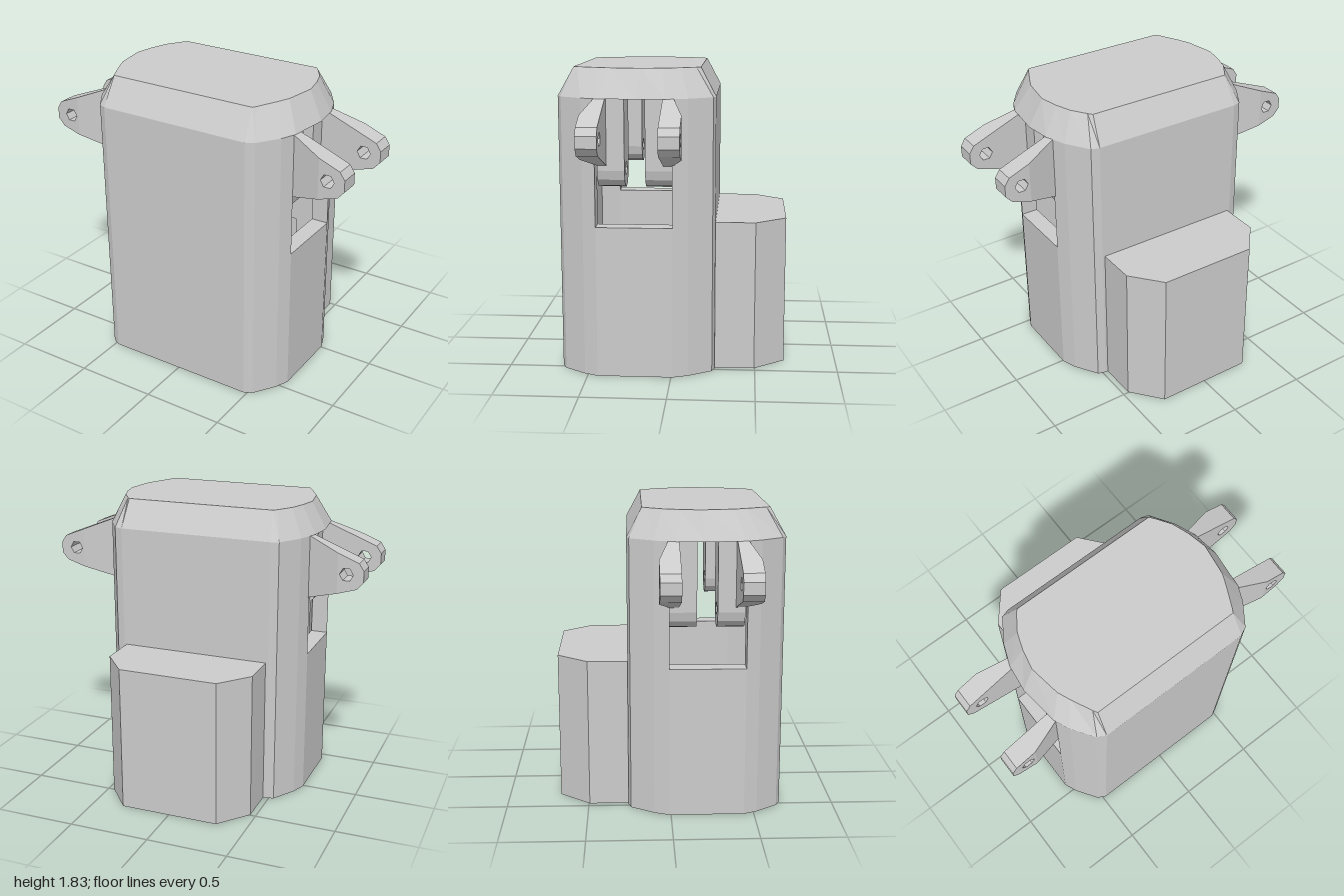
import * as THREE from 'three';

const material = new THREE.MeshStandardMaterial({ color: 0xcccccc, flatShading: true });
const MID_Z = 0.21; // centre plane of the main body

// Right half outline [x, z], back to front, completed by its mirror image
const mirrored = half => [...half, ...half.map(([x, z]) => [-x, z]).reverse()];

// Points of an outline, always counter-clockwise so every wall faces outward
const ccw = pts => {
  const v = pts.map(p => new THREE.Vector2(...p));
  return THREE.ShapeUtils.isClockWise(v) ? v.reverse() : v;
};

const makeShape = (pts, holes) => {
  const shape = new THREE.Shape(ccw(pts));
  for (const h of holes) shape.holes.push(new THREE.Path(ccw(h)));
  return shape;
};

// Horizontal slab with an [x, z] outline between two heights
function slab(outline, y0, y1, holes = []) {
  const flip = pts => pts.map(([x, z]) => [x, -z]);
  const geo = new THREE.ExtrudeGeometry(makeShape(flip(outline), holes.map(flip)), { depth: y1 - y0, bevelEnabled: false });
  return geo.rotateX(-Math.PI / 2).translate(0, y0, 0);
}

// Upright plate with an [x, y] outline between two depths
function plate(outline, z0, z1, holes = []) {
  const geo = new THREE.ExtrudeGeometry(makeShape(outline, holes), { depth: z1 - z0, bevelEnabled: false });
  return geo.translate(0, 0, z0);
}

// Points on an arc; steps divide the sweep from a0 to a1
const arc = (cx, cy, r, count, steps, a0 = 0, a1 = Math.PI * 2) =>
  Array.from({ length: count }, (_, i) => {
    const a = a0 + (a1 - a0) * i / steps;
    return [cx + r * Math.cos(a), cy + r * Math.sin(a)];
  });

export function createModel() {
  const model = new THREE.Group();
  const add = (name, geo, parent = model) => {
    const mesh = new THREE.Mesh(geo, material);
    mesh.name = name;
    parent.add(mesh);
  };

  // Outlines of the body corners and the rear box
  const backCorner = [[0.48, -0.255], [0.53, -0.24], [0.62, -0.1], [0.655, -0.01]];
  const frontCorner = [[0.655, 0.44], [0.62, 0.52], [0.53, 0.65], [0.48, 0.675]];
  const body = mirrored([...backCorner, ...frontCorner]);
  const bodyCavity = mirrored([[0.5, -0.14], [0.55, -0.01], [0.55, 0.44], [0.5, 0.56]]);
  const boxHalf = [[0.31, -0.68], [0.465, -0.495], [0.465, -0.255]];
  const footprint = mirrored([...boxHalf, ...backCorner, ...frontCorner]);
  const footCavity = mirrored([[0.27, -0.58], [0.37, -0.46], [0.37, -0.14], [0.5, -0.14],
    [0.55, -0.01], [0.55, 0.44], [0.5, 0.56]]);

  // Floor with its rectangular opening, then the hollow walls
  add('floor', slab(footprint, 0, 0.17, [mirrored([[0.25, -0.45], [0.25, 0.52]])]));
  add('lowerWalls', slab(footprint, 0.17, 0.8, [footCavity]));
  add('middleWalls', slab(body, 0.8, 0.91, [bodyCavity]));
  add('rearBoxLid', slab(mirrored(boxHalf), 0.8, 0.91));

  // Upper walls leave a window on each side
  add('upperBackWall', slab(mirrored([...backCorner, [0.55, -0.01], [0.5, -0.14]]), 0.91, 1.66));
  add('upperFrontWall', slab(mirrored([[0.5, 0.56], [0.55, 0.44], ...frontCorner]), 0.91, 1.66));

  // Cap tapering from the rim to a smaller flat top
  const rim = mirrored([[0.48, -0.255], [0.53, -0.24], [0.62, -0.1], [0.67, 0.03], [0.69, 0.19],
    [0.66, 0.43], [0.62, 0.52], [0.53, 0.65], [0.48, 0.675]]);
  const crown = mirrored([[0.465, -0.165], [0.485, -0.14], [0.545, -0.05], [0.58, 0.05], [0.605, 0.17],
    [0.575, 0.36], [0.545, 0.43], [0.485, 0.555], [0.47, 0.58]]);
  const cap = slab(rim, 1.66, 1.83);
  const pos = cap.attributes.position;
  for (let i = 0; i < pos.count; i++) {
    if (pos.getY(i) < 1.75) continue;
    const k = rim.findIndex(([x, z]) => Math.hypot(x - pos.getX(i), z - pos.getZ(i)) < 1e-4);
    pos.setXYZ(i, crown[k][0], 1.83, crown[k][1]);
  }
  cap.computeVertexNormals();
  add('cap', cap);

  // Lug parts: drilled tip, arm narrowing toward the body, inner hanger
  const z0 = -0.075, z1 = 0.045;
  const tip = plate([[0.84, 1.338], [0.96, 1.375], [1, 1.42], [1, 1.49], [0.97, 1.535], [0.84, 1.587]],
    z0, z1, [arc(0.895, 1.46, 0.042, 6, 6)]);
  const arm = plate([[0.62, 1.27], [0.84, 1.338], [0.84, 1.587], [0.655, 1.66], [0.62, 1.66]], z0, z1);
  const ap = arm.attributes.position;
  for (let i = 0; i < ap.count; i++) {
    if (ap.getZ(i) < 0) ap.setZ(i, THREE.MathUtils.mapLinear(ap.getX(i), 0.62, 0.84, -0.01, z0));
  }
  arm.computeVertexNormals();
  const hanger = plate([[0.62, 1.66], [0.4, 1.66], ...arc(0.51, 1.24, 0.11, 7, 6, Math.PI)],
    -0.01, 0.15, [arc(0.51, 1.24, 0.042, 6, 6)]);

  // Four lugs: left and right, back and front
  for (const side of [1, -1]) {
    for (const end of [1, -1]) {
      const lug = new THREE.Group();
      lug.name = `${side > 0 ? 'left' : 'right'}${end > 0 ? 'Back' : 'Front'}Lug`;
      add('lugTip', tip, lug);
      add('lugArm', arm, lug);
      add('lugHanger', hanger, lug);
      lug.scale.set(side, 1, end);
      lug.position.z = end > 0 ? 0 : 2 * MID_Z;
      model.add(lug);
    }
  }
  return model;
}
